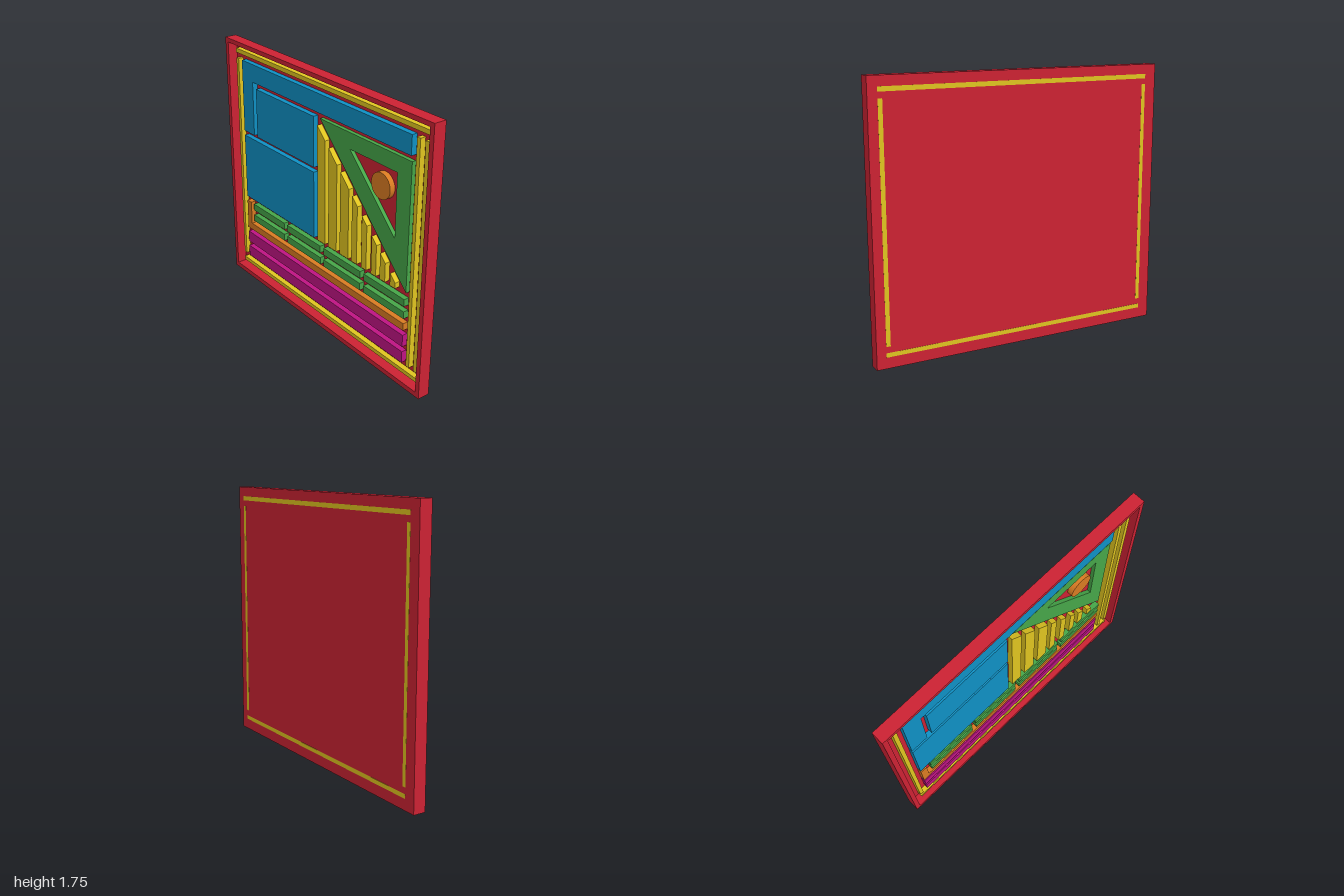
import * as THREE from 'three';

const BACK = -0.041, FRONT = 0.041, FLOOR = -0.026, TOP = 0.01;

const mat = (color) => new THREE.MeshStandardMaterial({ color });
const red = mat(0xcc2233), blue = mat(0x0f90c4), green = mat(0x46a548);
const yellow = mat(0xdfc420), orange = mat(0xd97b22), magenta = mat(0xbe1482);

const polygon = (pts) => new THREE.Shape(pts.map(([x, y]) => new THREE.Vector2(x, y)));
const rect = (x0, x1, y0, y1) => [[x0, y0], [x1, y0], [x1, y1], [x0, y1]];

export function createModel() {
  const model = new THREE.Group();

  // Extrudes an outline between two depths
  function add(name, pts, material, z0 = FLOOR, z1 = TOP, hole = null) {
    const shape = polygon(pts);
    if (hole) shape.holes.push(polygon(hole));
    const geo = new THREE.ExtrudeGeometry(shape, { depth: z1 - z0, bevelEnabled: false });
    geo.translate(0, 0, z0);
    const mesh = new THREE.Mesh(geo, material);
    mesh.name = name;
    model.add(mesh);
  }

  // Tray: back panel and raised rim
  const outer = rect(-1, 1, 0, 1.75), inner = rect(-0.968, 0.968, 0.034, 1.721);
  add('backPanel', outer, red, BACK, FLOOR);
  add('rim', outer, red, FLOOR, FRONT, inner);

  // Border strips, let through to the back
  const through = BACK - 0.0006;
  add('topStrip', rect(-0.922, 0.938, 1.658, 1.687), yellow, through);
  add('bottomStrip', rect(-0.922, 0.938, 0.071, 0.099), yellow, through);
  add('rightStrip', rect(-0.922, -0.895, 0.139, 1.62), yellow, through);
  add('leftStrip', rect(0.91, 0.938, 0.139, 1.62), yellow, through);
  add('innerLeftStrip', rect(0.845, 0.872, 0.139, 1.62), yellow);

  // Blue blocks
  add('blueCorner', [[-0.856, 1.12], [-0.735, 1.12], [-0.735, 1.497], [0.807, 1.497],
    [0.807, 1.62], [-0.856, 1.62]], blue);
  add('upperBluePanel', rect(-0.698, -0.067, 1.12, 1.46), blue);
  add('lowerBluePanel', rect(-0.856, -0.067, 0.621, 1.087), blue);

  // Open triangle with a disc inside
  add('triangle', [[-0.016, 1.46], [0.807, 0.627], [0.807, 1.46]], green, FLOOR, 0,
    [[0.273, 1.355], [0.692, 0.937], [0.692, 1.355]]);
  const discGeo = new THREE.CylinderGeometry(0.083, 0.083, TOP - FLOOR, 48);
  discGeo.rotateX(Math.PI / 2);
  const disc = new THREE.Mesh(discGeo, orange);
  disc.position.set(0.567, 1.229, (TOP + FLOOR) / 2);
  disc.name = 'disc';
  model.add(disc);

  // Slats cut along the slope of the triangle
  const slope = (x) => 1.384 - 1.006 * x;
  const slats = [[-0.03, 0.048], [0.083, 0.166], [0.2, 0.283], [0.315, 0.366],
    [0.409, 0.457], [0.503, 0.548], [0.583, 0.631], [0.676, 0.722]];
  slats.forEach(([a, b], i) =>
    add(`slat${i + 1}`, [[a, 0.621], [b, 0.621], [b, slope(b)], [a, slope(a)]], yellow));

  // Two rows of bricks
  for (const y of [0.453, 0.538]) {
    for (let i = 0; i < 4; i++) {
      const x = -0.773 + i * 0.403;
      add('brick', rect(x, x + 0.37, y, y + 0.049), green);
    }
  }

  // Bent strip and lower bars
  add('bentStrip', [[-0.856, 0.37], [0.807, 0.37], [0.807, 0.42], [-0.807, 0.42],
    [-0.807, 0.587], [-0.856, 0.587]], orange);
  add('upperBar', rect(-0.856, 0.807, 0.254, 0.337), magenta);
  add('lowerBar', rect(-0.856, 0.807, 0.139, 0.219), magenta);

  return model;
}
